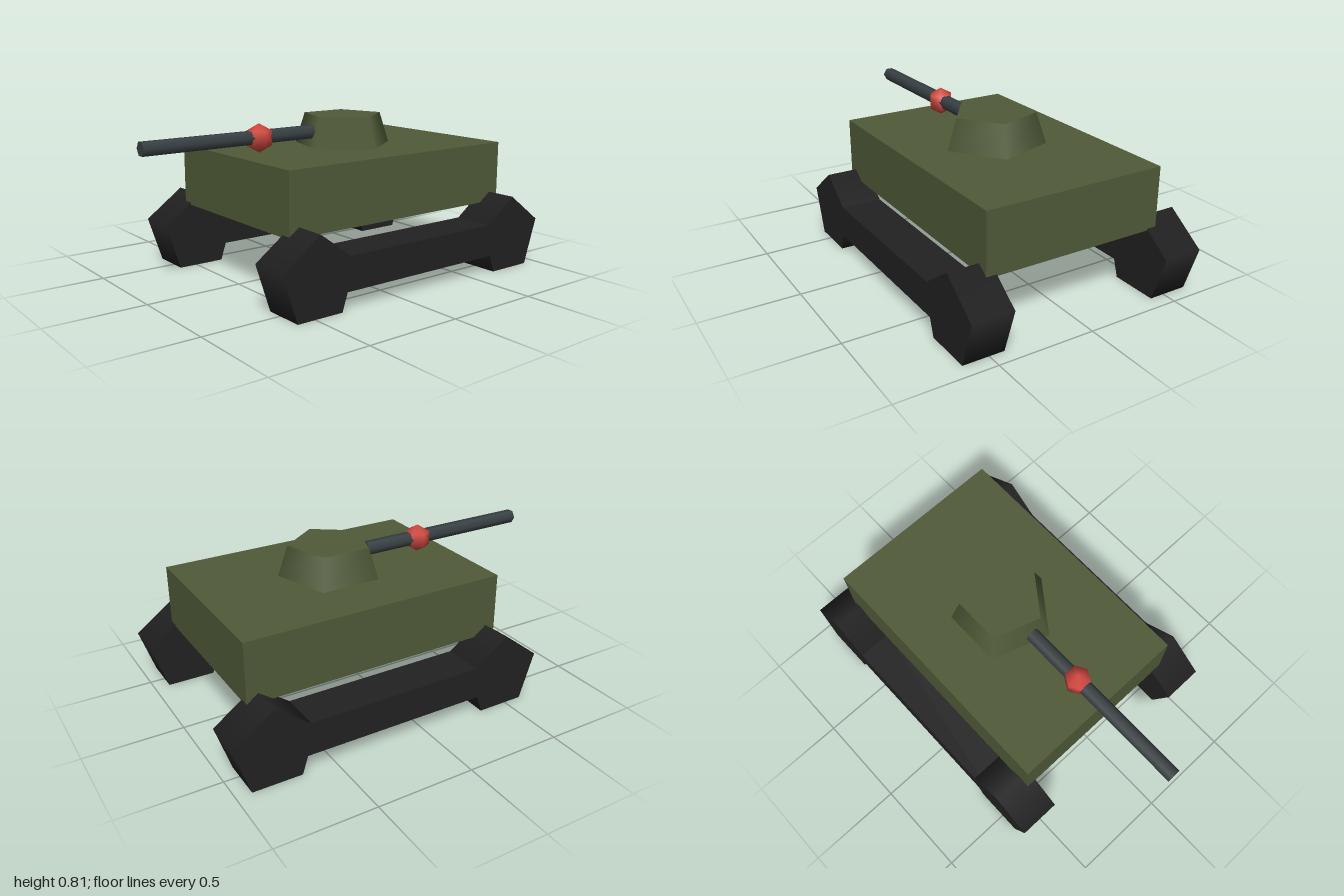
import * as THREE from 'three';

const material = (name, color) => {
  const m = new THREE.MeshStandardMaterial({ color });
  m.name = name;
  return m;
};

export function createModel() {
  const model = new THREE.Group();
  model.name = 'tank';

  const olive = material('olive', 0x505b38);
  const black = material('black', 0x222222);
  const steel = material('steel', 0x394144);
  const red = material('red', 0xd2483f);

  const add = (name, geometry, mat, x, y, z, parent = model) => {
    const mesh = new THREE.Mesh(geometry, mat);
    mesh.name = name;
    mesh.position.set(x, y, z);
    parent.add(mesh);
    return mesh;
  };

  // Hull
  add('hull', new THREE.BoxGeometry(0.95, 0.316, 1.38), olive, 0, 0.492, -0.165);

  // Five-sided turret, one corner towards +x
  const turret = new THREE.CylinderGeometry(0.211, 0.263, 0.158, 5).rotateY(Math.PI / 2);
  add('turret', turret, olive, 0, 0.729, -0.165);

  // Gun barrel with a red bead around it
  const back = 0.045;
  const barrel = new THREE.CylinderGeometry(0.037, 0.037, 1 - back, 6)
    .rotateY(Math.PI / 2).rotateX(Math.PI / 2);
  add('barrel', barrel, steel, 0, 0.73, (1 + back) / 2);
  add('barrelBead', new THREE.SphereGeometry(0.073, 6, 3), red, 0, 0.725, 0.365);

  // Running gear: five-sided wheels joined by a bar on each side
  const radius = 0.213, width = 0.212, wheelY = 0.172;
  const frontZ = 0.471, rearZ = -0.797;
  const wheel = new THREE.CylinderGeometry(radius, radius, width, 5)
    .rotateX(-Math.PI / 2).rotateY(Math.PI / 2);
  const bar = new THREE.BoxGeometry(width, 0.168, frontZ - rearZ);
  for (const [side, sign] of [['left', 1], ['right', -1]]) {
    const gear = new THREE.Group();
    gear.name = side + 'RunningGear';
    gear.position.x = sign * 0.528;
    model.add(gear);
    add('frontWheel', wheel, black, 0, wheelY, frontZ, gear);
    add('rearWheel', wheel, black, 0, wheelY, rearZ, gear);
    add('trackBar', bar, black, 0, wheelY + 0.002, (frontZ + rearZ) / 2, gear);
  }

  return model;
}
